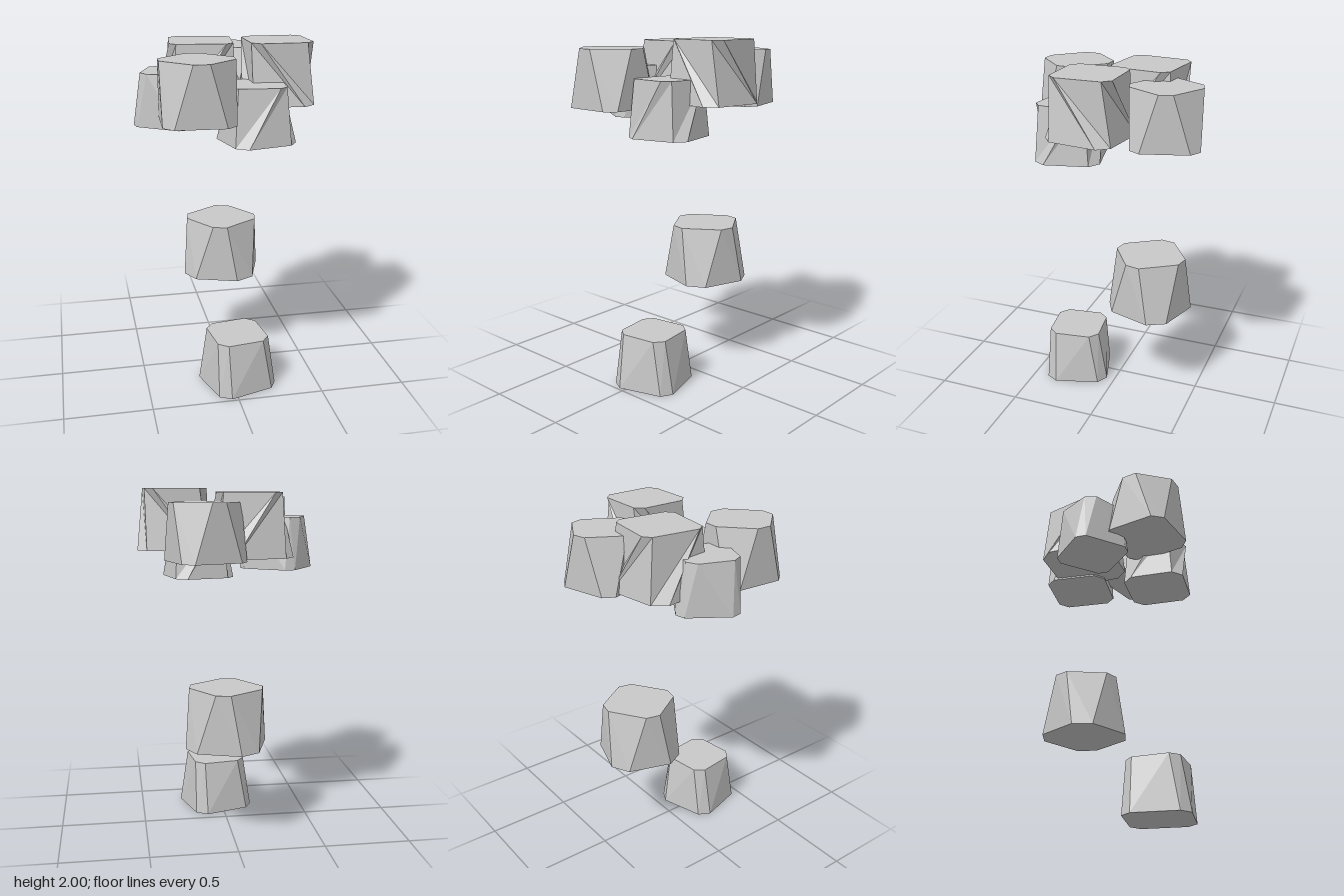
import * as THREE from 'three';

// Octagon made by chamfering a square: h = half width, e = half length of a long edge, deg = turn
function chamferedSquare(cx, cz, y, [h, e, deg]) {
  const points = [];
  for (let side = 0; side < 4; side++) {
    const a = THREE.MathUtils.degToRad(deg + side * 90);
    for (const s of [-1, 1]) {
      points.push(new THREE.Vector3(
        cx + h * Math.cos(a) - s * e * Math.sin(a), y,
        cz + h * Math.sin(a) + s * e * Math.cos(a)));
    }
  }
  return points;
}

// Twisted block lofted between two chamfered squares, with each side folded outwards
function blockGeometry({ x, z, y0, y1, bottom, top }) {
  const b = chamferedSquare(x, z, y0, bottom);
  const t = chamferedSquare(x, z, y1, top);
  const pos = [];
  const tri = (...pts) => pts.forEach((p) => pos.push(p.x, p.y, p.z));
  const reach = (p, q) => Math.hypot((p.x + q.x) / 2 - x, (p.z + q.z) / 2 - z);
  const low = new THREE.Vector3(x, y0, z);
  const high = new THREE.Vector3(x, y1, z);
  for (let i = 0; i < 8; i++) {
    const j = (i + 1) % 8;
    if (reach(b[i], t[j]) > reach(b[j], t[i])) {
      tri(b[i], t[i], t[j]);
      tri(b[i], t[j], b[j]);
    } else {
      tri(b[i], t[i], b[j]);
      tri(b[j], t[i], t[j]);
    }
    tri(high, t[j], t[i]);
    tri(low, b[i], b[j]);
  }
  const geometry = new THREE.BufferGeometry();
  geometry.setAttribute('position', new THREE.Float32BufferAttribute(pos, 3));
  geometry.computeVertexNormals();
  return geometry;
}

export function createModel() {
  const stone = new THREE.MeshStandardMaterial({ color: 0xc8c8c8 });
  stone.name = 'light stone grey';

  // bottom and top: [half width, half edge, turn in degrees]
  const blocks = [
    // two loose blocks below
    { name: 'lowestBlock', x: 0.035, z: 0.268, y0: 0, y1: 0.317, bottom: [0.187, 0.132, -17], top: [0.155, 0.105, -8] },
    { name: 'middleBlock', x: 0.03, z: -0.204, y0: 0.54, y1: 0.883, bottom: [0.212, 0.128, 18], top: [0.178, 0.118, 57] },
    // cluster of blocks above
    { name: 'frontRightBlock', x: -0.202, z: 0.333, y0: 1.617, y1: 1.947, bottom: [0.194, 0.138, 3], top: [0.173, 0.112, 47] },
    { name: 'frontLowBlock', x: 0.14, z: 0.242, y0: 1.475, y1: 1.79, bottom: [0.182, 0.126, -13], top: [0.152, 0.112, -83] },
    { name: 'leftBlock', x: 0.296, z: 0.056, y0: 1.657, y1: 2, bottom: [0.2, 0.141, 8], top: [0.174, 0.13, 90] },
    { name: 'rightBlock', x: -0.297, z: 0.022, y0: 1.545, y1: 1.84, bottom: [0.172, 0.128, 34], top: [0.15, 0.1, 20] },
    { name: 'centreBlock', x: -0.103, z: -0.145, y0: 1.625, y1: 1.98, bottom: [0.217, 0.148, -9], top: [0.18, 0.14, -83] },
    { name: 'backBlock', x: 0.16, z: -0.32, y0: 1.615, y1: 1.93, bottom: [0.187, 0.134, -16], top: [0.165, 0.111, 29] },
  ];

  const model = new THREE.Group();
  model.name = 'floatingBlocks';
  for (const block of blocks) {
    const mesh = new THREE.Mesh(blockGeometry(block), stone);
    mesh.name = block.name;
    model.add(mesh);
  }
  return model;
}
